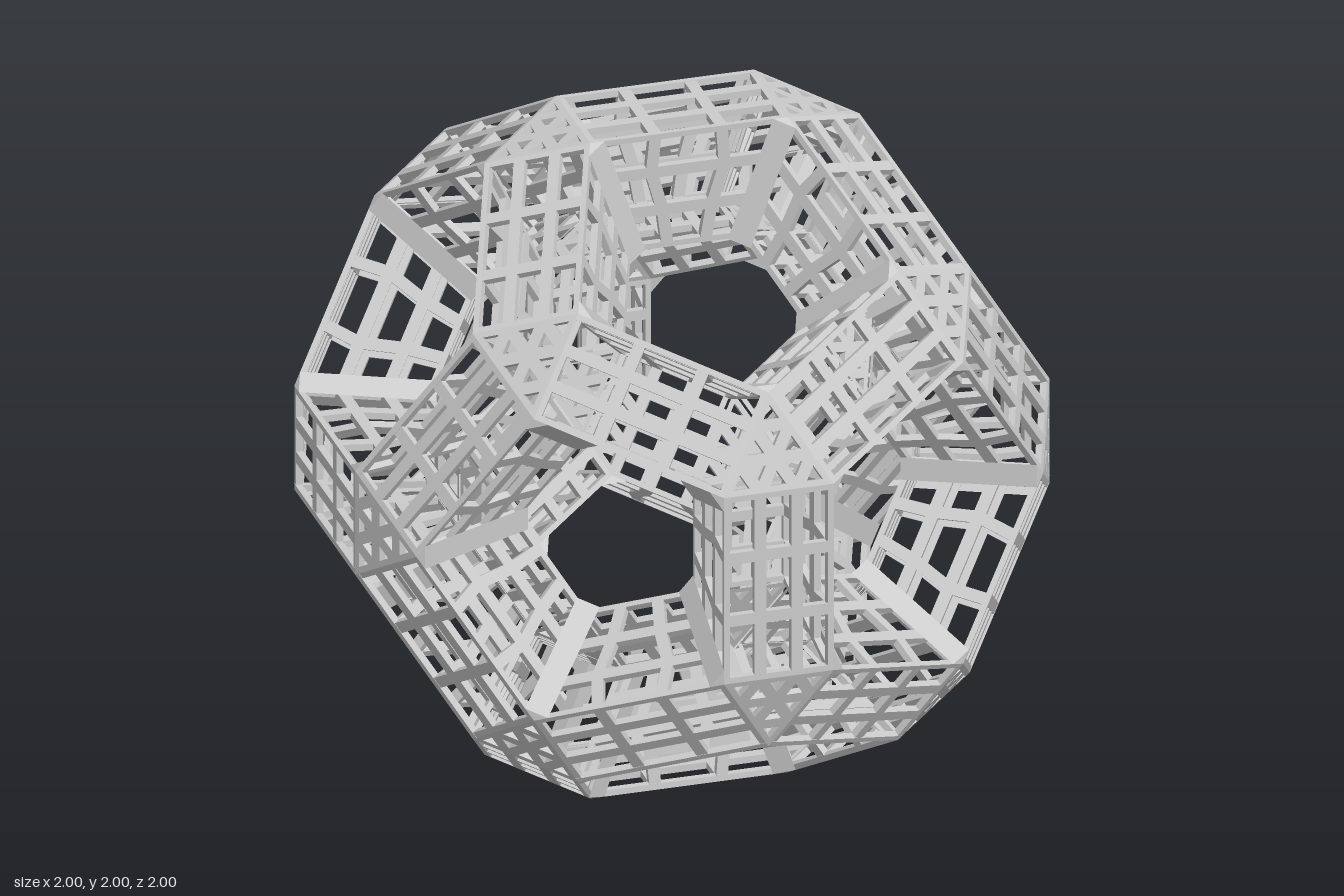
import * as THREE from 'three';

const PHI = (1 + Math.sqrt(5)) / 2;
const V = (x, y, z) => new THREE.Vector3(x, y, z);
const mix = (a, b, t) => a.clone().lerp(b, t);

// Cyclic permutations of (0, +-a, +-b)
function cyclic(a, b) {
  const out = [];
  for (const s of [1, -1]) for (const t of [1, -1])
    out.push(V(0, s * a, t * b), V(t * b, 0, s * a), V(s * a, t * b, 0));
  return out;
}

// Dodecahedron directions: 12 face normals and 20 corners
const normals = cyclic(PHI, 1).map(v => v.normalize());
const corners = cyclic(1 / PHI, PHI);
for (const x of [1, -1]) for (const y of [1, -1]) for (const z of [1, -1]) corners.push(V(x, y, z));
corners.forEach(v => v.normalize());

// Corner of the pentagon opening; r = distance of beam face from centre, w = its half width
function openingCorner(n, v, r, w) {
  const k = Math.sqrt(1 + PHI * PHI);
  const dist = (w + PHI * r) / k;
  const radius = (r - PHI * w) / k / Math.cos(Math.PI / 5);
  const dir = v.clone().addScaledVector(n, -v.dot(n)).normalize();
  return n.clone().multiplyScalar(dist).addScaledVector(dir, radius);
}

const tri = (out, ...pts) => pts.forEach(p => out.push(p.x, p.y, p.z));
const quad = (out, a, b, c, d) => { tri(out, a, b, c); tri(out, a, c, d); };

// One lattice cell: a flat frame with a window, given thickness
function cell(out, pts, facing, bar, depth) {
  let n = V(0, 0, 0).crossVectors(pts[1].clone().sub(pts[0]), pts[2].clone().sub(pts[0])).normalize();
  if (n.dot(facing) < 0) { pts = [...pts].reverse(); n.negate(); }
  const count = pts.length;
  const inset = pts.map((p, i) => {
    const e0 = p.clone().sub(pts[(i + count - 1) % count]).normalize();
    const e1 = pts[(i + 1) % count].clone().sub(p).normalize();
    const sin = e0.clone().cross(e1).length();
    return p.clone().addScaledVector(e1.sub(e0), bar / sin);
  });
  const back = p => p.clone().addScaledVector(n, -depth);
  for (let i = 0; i < count; i++) {
    const j = (i + 1) % count;
    const [a, b, c, d] = [pts[i], pts[j], inset[j], inset[i]];
    quad(out, a, b, c, d);
    quad(out, back(b), back(a), back(d), back(c));
    quad(out, d, c, back(c), back(d));
  }
}

// 3 x 3 lattice over a quad; kink widens the middle column per row
function quadPanel(out, [a, b, c, d], facing, bar, depth, kink = [0, 0, 0, 0]) {
  const at = (i, j) => {
    const u = i / 3 + (i === 1 ? -kink[j] : i === 2 ? kink[j] : 0);
    return mix(mix(a, b, u), mix(d, c, u), j / 3);
  };
  for (let i = 0; i < 3; i++) for (let j = 0; j < 3; j++)
    cell(out, [at(i, j), at(i + 1, j), at(i + 1, j + 1), at(i, j + 1)], facing, bar, depth);
}

// Triangular lattice of nine small triangles
function triPanel(out, [a, b, c], facing, bar, depth) {
  const at = (i, j) => a.clone()
    .addScaledVector(b.clone().sub(a), i / 3).addScaledVector(c.clone().sub(a), j / 3);
  for (let i = 0; i < 3; i++) for (let j = 0; i + j < 3; j++) {
    cell(out, [at(i, j), at(i + 1, j), at(i, j + 1)], facing, bar, depth);
    if (i + j < 2) cell(out, [at(i + 1, j), at(i + 1, j + 1), at(i, j + 1)], facing, bar, depth);
  }
}

// Triangular post that blunts a corner of an opening
function post(out, top, bottom, axis) {
  const n = V(0, 0, 0).crossVectors(top[1].clone().sub(top[0]), top[2].clone().sub(top[0]));
  if (n.dot(axis) < 0) { top = [top[0], top[2], top[1]]; bottom = [bottom[0], bottom[2], bottom[1]]; }
  tri(out, ...top);
  tri(out, bottom[0], bottom[2], bottom[1]);
  for (let i = 0; i < 3; i++) {
    const j = (i + 1) % 3;
    quad(out, top[j], top[i], bottom[i], bottom[j]);
  }
}

export function createModel() {
  const group = new THREE.Group();
  const material = new THREE.MeshStandardMaterial({ color: 0xcccccc, flatShading: true });
  const BAR = 0.017, DEPTH = 0.02, BLUNT = 0.042;
  const outer = (n, v) => openingCorner(n, v, 1, 0.158);
  const inner = (n, v) => openingCorner(n, v, 0.642, 0.137);
  const touches = (n, v) => n.dot(v) > 0.7;

  const parts = {
    outerBeamPanels: [], innerBeamPanels: [], outerJointPanels: [],
    innerJointPanels: [], openingWalls: [], openingCornerPosts: [],
  };

  // Beams along the 30 edges, with a wall toward each neighbouring opening
  corners.forEach((u, i) => corners.slice(i + 1).forEach(v => {
    const pair = normals.filter(n => touches(n, u) && touches(n, v));
    if (pair.length !== 2) return;
    const [f, g] = pair;
    const mid = mix(u, v, 0.5);
    const ring = p => [p(f, u), p(f, v), p(g, v), p(g, u)];
    quadPanel(parts.outerBeamPanels, ring(outer), mid, BAR, DEPTH);
    quadPanel(parts.innerBeamPanels, ring(inner), mid.clone().negate(), BAR * 0.9, DEPTH);
    for (const n of pair) {
      const facing = n.clone().multiplyScalar(mid.dot(n)).sub(mid);
      quadPanel(parts.openingWalls, [outer(n, u), outer(n, v), inner(n, v), inner(n, u)],
        facing, BAR, DEPTH, [0, 0.05, 0.01, 0]);
    }
  }));

  // Joints at the 20 corners
  for (const v of corners) {
    const around = normals.filter(n => touches(n, v));
    triPanel(parts.outerJointPanels, around.map(n => outer(n, v)), v, BAR, DEPTH);
    triPanel(parts.innerJointPanels, around.map(n => inner(n, v)), v.clone().negate(), BAR * 0.85, DEPTH);

    // Blunted corners of the three openings meeting here
    for (const n of around) {
      const next = corners.filter(u => u !== v && touches(n, u) && u.dot(v) > 0.7);
      const ends = p => {
        const c = p(n, v);
        return [c, ...next.map(u => c.clone().addScaledVector(p(n, u).sub(c).normalize(), BLUNT))];
      };
      post(parts.openingCornerPosts, ends(outer), ends(inner), n);
    }
  }

  for (const [name, data] of Object.entries(parts)) {
    const geometry = new THREE.BufferGeometry();
    geometry.setAttribute('position', new THREE.Float32BufferAttribute(data, 3));
    geometry.computeVertexNormals();
    const mesh = new THREE.Mesh(geometry, material);
    mesh.name = name;
    mesh.position.y = 1;
    group.add(mesh);
  }
  group.name = 'latticeDodecahedron';
  return group;
}
